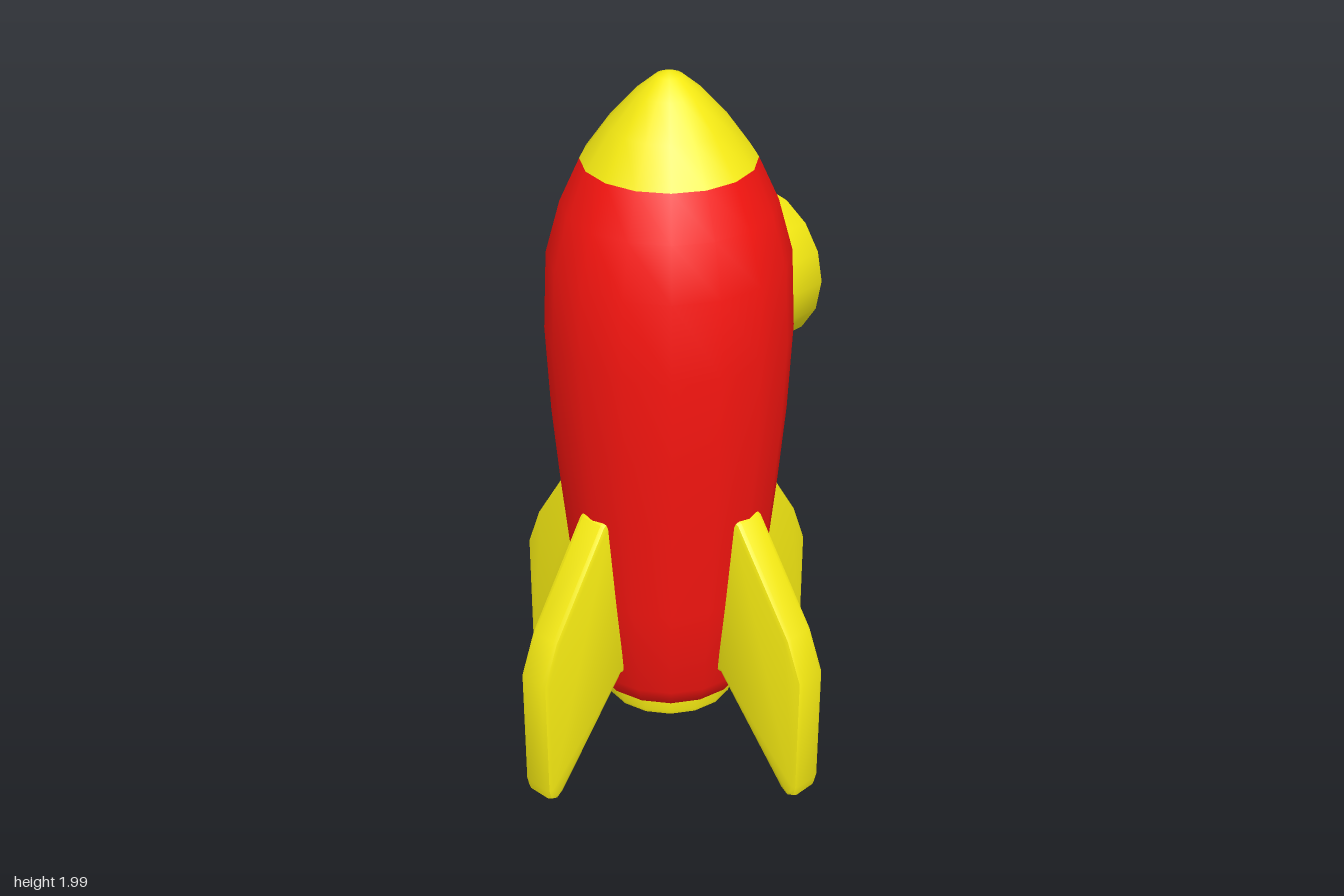
import * as THREE from 'three';
import { toCreasedNormals } from 'three/addons/utils/BufferGeometryUtils.js';

const red = new THREE.MeshStandardMaterial({ color: 0xf81510 });
const yellow = new THREE.MeshStandardMaterial({ color: 0xf5ea12 });
const blue = new THREE.MeshStandardMaterial({ color: 0xa3bcdc });

// Lathe around y; profile runs from bottom to top on the outside
function lathe(name, profile, material, sides = 16, crease = 0.75) {
  const points = profile.map(([r, y]) => new THREE.Vector2(r, y));
  const geometry = toCreasedNormals(new THREE.LatheGeometry(points, sides), crease);
  const mesh = new THREE.Mesh(geometry, material);
  mesh.name = name;
  return mesh;
}

// Bevelled fin plate, drawn in the xy plane and pointing to +x
function finGeometry() {
  const outline = [
    [0.22, 0.3], [0.24, 0.3], [0.47, 0.025], [0.495, 0.008], [0.52, 0.018], [0.528, 0.05],
    [0.532, 0.4], [0.485, 0.52], [0.3, 0.805], [0.285, 0.812], [0.25, 0.8],
  ];
  const shape = new THREE.Shape(outline.map(([x, y]) => new THREE.Vector2(x, y)));
  const bevel = 0.015;
  const thickness = 0.098;
  const geometry = new THREE.ExtrudeGeometry(shape, {
    depth: thickness - 2 * bevel,
    bevelEnabled: true,
    bevelSize: bevel,
    bevelThickness: bevel,
    bevelOffset: -bevel,
    bevelSegments: 2,
  });
  geometry.translate(0, 0, bevel - thickness / 2);
  return toCreasedNormals(geometry, 0.6);
}

export function createModel() {
  const rocket = new THREE.Group();
  rocket.name = 'rocket';

  // Hull and nose
  rocket.add(lathe('body', [
    [0, 0.19], [0.185, 0.19], [0.213, 0.205], [0.235, 0.255], [0.268, 0.53], [0.298, 0.81],
    [0.318, 1.03], [0.331, 1.28], [0.322, 1.5], [0.283, 1.645], [0.23, 1.763],
  ], red));
  rocket.add(lathe('noseCone', [
    [0.23, 1.763], [0.16, 1.862], [0.085, 1.945], [0.035, 1.987], [0, 2],
  ], yellow));

  // Hollow exhaust nozzle
  rocket.add(lathe('nozzle', [
    [0, 0.188], [0.115, 0.188], [0.13, 0.145], [0.18, 0.145], [0.183, 0.155], [0.183, 0.2],
  ], yellow));

  // Four fins
  const fin = finGeometry();
  for (let i = 0; i < 4; i++) {
    const mesh = new THREE.Mesh(fin, yellow);
    mesh.name = `fin${i + 1}`;
    mesh.rotation.y = (i * Math.PI) / 2;
    rocket.add(mesh);
  }

  // Porthole on the left side: lathed along y, then turned to face +x
  const porthole = new THREE.Group();
  porthole.name = 'porthole';
  porthole.add(lathe('portholeRim', [
    [0.218, 0.2], [0.218, 0.362], [0.211, 0.371], [0.155, 0.371], [0.146, 0.362], [0.146, 0.32],
  ], yellow));
  porthole.add(lathe('portholeGlass', [
    [0.147, 0.345], [0.12, 0.357], [0.08, 0.368], [0.04, 0.374], [0, 0.376],
  ], blue));
  porthole.rotation.z = -Math.PI / 2;
  porthole.position.y = 1.353;
  rocket.add(porthole);

  return rocket;
}
